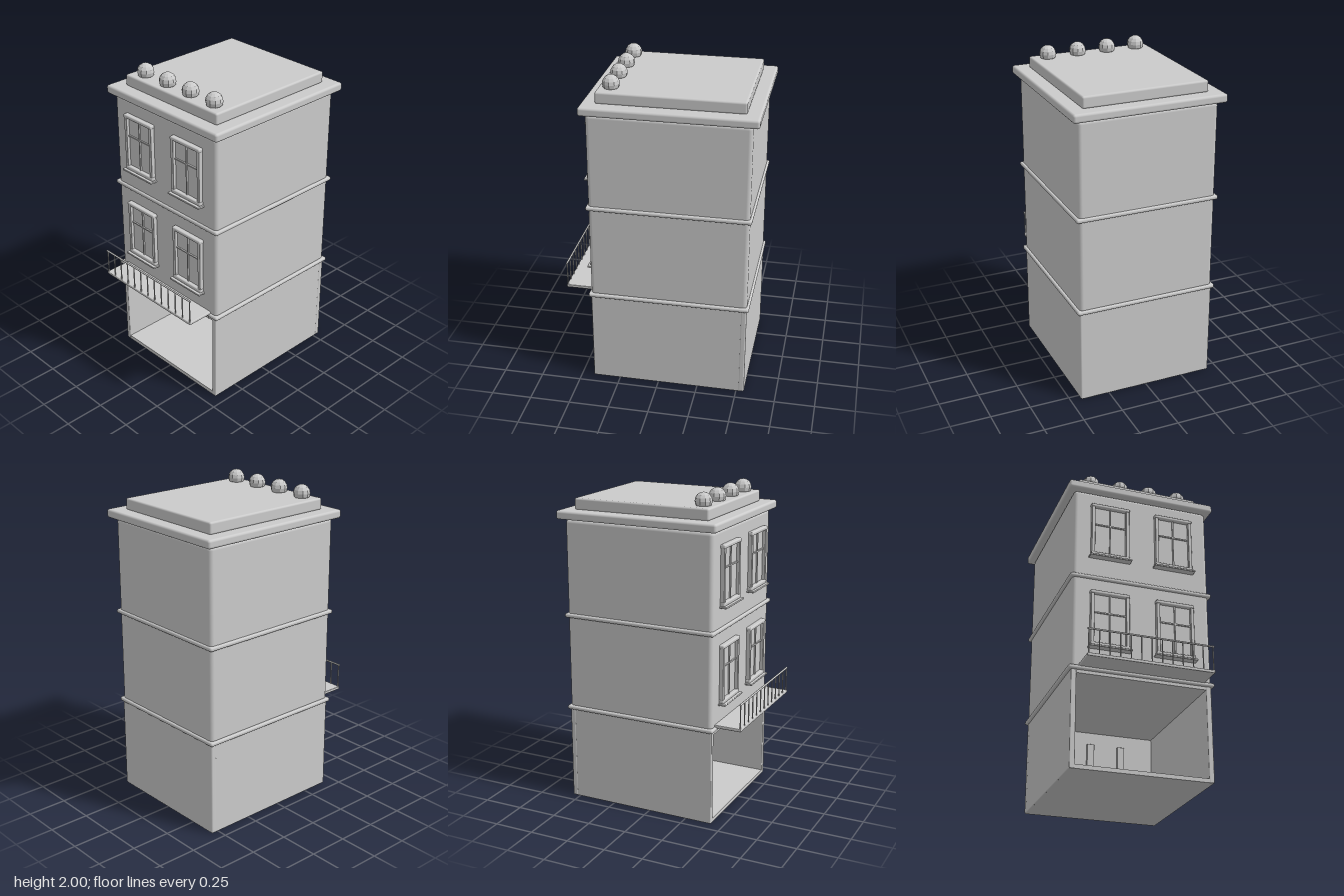
import * as THREE from 'three';
import { RoundedBoxGeometry } from 'three/addons/geometries/RoundedBoxGeometry.js';

const grey = new THREE.MeshStandardMaterial({ color: 0xcccccc });
const faceted = new THREE.MeshStandardMaterial({ color: 0xcccccc, flatShading: true });

// Box given by its limits on each axis; r > 0 rounds the edges
function block(parent, name, [x0, x1], [y0, y1], [z0, z1], r = 0) {
  const w = x1 - x0, h = y1 - y0, d = z1 - z0;
  const geo = r ? new RoundedBoxGeometry(w, h, d, 3, r) : new THREE.BoxGeometry(w, h, d);
  const mesh = new THREE.Mesh(geo, grey);
  mesh.name = name;
  mesh.position.set((x0 + x1) / 2, (y0 + y1) / 2, (z0 + z1) / 2);
  parent.add(mesh);
  return mesh;
}

function rod(parent, name, radius, length, x, y, z, alongX = false) {
  const mesh = new THREE.Mesh(new THREE.CylinderGeometry(radius, radius, length, 8), grey);
  mesh.name = name;
  mesh.position.set(x, y, z);
  if (alongX) mesh.rotation.z = Math.PI / 2;
  parent.add(mesh);
}

function group(parent, name) {
  const g = new THREE.Group();
  g.name = name;
  parent.add(g);
  return g;
}

// Framed sash window; y is the underside of the sill
function addWindow(parent, x, y) {
  const g = group(parent, 'window');
  g.position.set(x, y, 0);
  block(g, 'pane', [-0.105, 0.105], [0.03, 0.36], [0.41, 0.428]);
  for (const s of [-1, 1]) {
    block(g, 'jamb', [s * 0.11 - 0.011, s * 0.11 + 0.011], [0.03, 0.36], [0.41, 0.448], 0.004);
  }
  block(g, 'lintel', [-0.124, 0.124], [0.352, 0.375], [0.41, 0.452], 0.008);
  block(g, 'bottomRail', [-0.124, 0.124], [0.01, 0.035], [0.41, 0.452], 0.008);
  block(g, 'sill', [-0.133, 0.133], [0, 0.012], [0.41, 0.468], 0.004);
  block(g, 'mullion', [-0.004, 0.004], [0.03, 0.36], [0.42, 0.437]);
  block(g, 'transom', [-0.1, 0.1], [0.23, 0.238], [0.42, 0.437]);
}

export function createModel() {
  const house = new THREE.Group();
  house.name = 'townhouse';

  // Open-fronted ground floor
  const room = group(house, 'groundFloor');
  block(room, 'floor', [-0.43, 0.43], [0, 0.025], [-0.545, 0.42]);
  block(room, 'backWall', [-0.437, 0.437], [0, 0.6], [-0.55, -0.513], 0.01);
  block(room, 'rightWall', [-0.435, -0.402], [0, 0.6], [-0.53, 0.422], 0.006);
  block(room, 'leftWall', [0.402, 0.435], [0, 0.6], [-0.53, 0.422], 0.006);
  block(room, 'ceiling', [-0.43, 0.43], [0.572, 0.605], [-0.545, 0.42]);
  block(room, 'skirting', [-0.402, 0.402], [0.025, 0.047], [-0.52, -0.505]);

  // Bed in the back corner
  const bed = group(room, 'bed');
  block(bed, 'base', [-0.385, -0.165], [0.035, 0.092], [-0.48, -0.085], 0.005);
  block(bed, 'mattress', [-0.382, -0.165], [0.09, 0.125], [-0.48, -0.08], 0.01);
  block(bed, 'pillow', [-0.333, -0.215], [0.12, 0.142], [-0.47, -0.38], 0.009);
  block(bed, 'headboard', [-0.39, -0.16], [0.035, 0.19], [-0.505, -0.48], 0.005);

  // Curtained window on the back wall
  const inner = group(room, 'roomWindow');
  block(inner, 'pane', [0, 0.16], [0.275, 0.488], [-0.52, -0.505]);
  for (const x of [-0.048, 0.158]) {
    block(inner, 'curtain', [x, x + 0.05], [0.272, 0.492], [-0.515, -0.495], 0.005);
  }

  // Upper storeys and string courses
  block(house, 'upperStoreys', [-0.437, 0.437], [0.6, 1.8], [-0.55, 0.422], 0.025);
  for (const y of [0.605, 1.203]) {
    block(house, 'stringCourse', [-0.453, 0.453], [y - 0.013, y + 0.013], [-0.563, 0.435], 0.011);
  }

  // Roof
  block(house, 'cornice', [-0.475, 0.475], [1.8, 1.853], [-0.59, 0.455], 0.015);
  block(house, 'roofBlock', [-0.39, 0.39], [1.85, 1.922], [-0.508, 0.372], 0.012);
  for (const x of [-0.293, -0.098, 0.098, 0.293]) {
    const ball = new THREE.Mesh(new THREE.SphereGeometry(0.052, 10, 8), faceted);
    ball.name = 'roofBall';
    ball.position.set(x, 1.948, 0.296);
    house.add(ball);
  }

  for (const y of [0.735, 1.335]) for (const x of [-0.207, 0.207]) addWindow(house, x, y);

  // Balcony
  const balcony = group(house, 'balcony');
  block(balcony, 'balconySlab', [-0.39, 0.39], [0.611, 0.63], [0.41, 0.59], 0.005);
  rod(balcony, 'handrail', 0.006, 0.78, 0, 0.781, 0.584, true);
  for (let i = 0; i <= 12; i++) {
    rod(balcony, 'baluster', 0.004, 0.155, -0.382 + i * 0.764 / 12, 0.703, 0.584);
  }
  return house;
}
